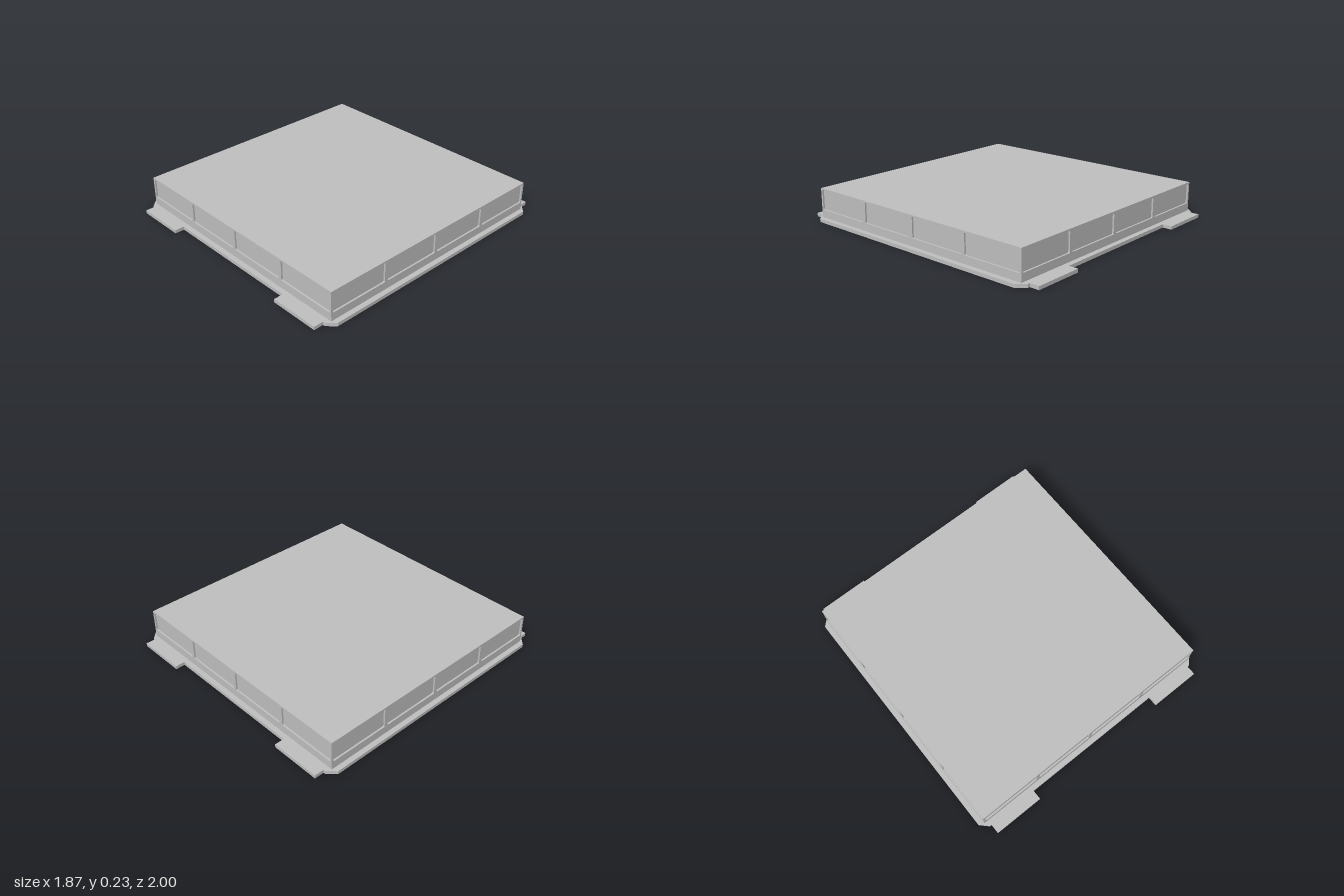
import * as THREE from 'three';

const HALF = 0.897;      // half width of the square body
const DEPTH = 0.012;     // depth of the side recesses
const BASE = 0.024;      // thickness of the base plate
const TOP = 0.23;

// Rectangle with small rounded corners, used for the recess openings
function roundedRect(path, x0, y0, x1, y1, r) {
  path.moveTo(x0 + r, y0);
  path.lineTo(x1 - r, y0);
  path.quadraticCurveTo(x1, y0, x1, y0 + r);
  path.lineTo(x1, y1 - r);
  path.quadraticCurveTo(x1, y1, x1 - r, y1);
  path.lineTo(x0 + r, y1);
  path.quadraticCurveTo(x0, y1, x0, y1 - r);
  path.lineTo(x0, y0 + r);
  path.quadraticCurveTo(x0, y0, x0 + r, y0);
  return path;
}

// Side wall with four openings
function wallGeometry(halfWidth) {
  const shape = new THREE.Shape([
    new THREE.Vector2(-halfWidth, BASE), new THREE.Vector2(halfWidth, BASE),
    new THREE.Vector2(halfWidth, TOP), new THREE.Vector2(-halfWidth, TOP),
  ]);
  for (let i = 0; i < 4; i++) {
    const cx = (i - 1.5) * 0.448;
    shape.holes.push(roundedRect(new THREE.Path(), cx - 0.2115, 0.079, cx + 0.2115, 0.219, 0.008));
  }
  return new THREE.ExtrudeGeometry(shape, { depth: DEPTH, bevelEnabled: false, curveSegments: 4 });
}

// Base plate outline: chamfered corners and four tabs, mirrored from one quarter
function plateGeometry() {
  const quarter = [[0.933, 0.88], [0.88, 0.933], [0.866, 0.933], [0.866, 1], [0.513, 1], [0.513, 0.933]];
  const flip = (sx, sy) => quarter.map(([x, y]) => new THREE.Vector2(x * sx, y * sy));
  const outline = [
    ...flip(1, 1), ...flip(-1, 1).reverse(),
    ...flip(-1, -1), ...flip(1, -1).reverse(),
  ];
  const geo = new THREE.ExtrudeGeometry(new THREE.Shape(outline), { depth: BASE, bevelEnabled: false });
  return geo.rotateX(-Math.PI / 2);
}

export function createModel() {
  const model = new THREE.Group();
  model.name = 'module';
  const grey = new THREE.MeshStandardMaterial({ color: 0xc0c0c0 });
  grey.name = 'light grey';

  const add = (name, geo) => {
    const mesh = new THREE.Mesh(geo, grey);
    mesh.name = name;
    model.add(mesh);
    return mesh;
  };

  add('basePlate', plateGeometry());

  // Solid core whose sides form the recessed panels
  const inner = HALF - DEPTH;
  add('body', new THREE.BoxGeometry(inner * 2, TOP - BASE, inner * 2)).position.y = (TOP + BASE) / 2;

  // Framed walls around the core
  ['frontWall', 'leftWall', 'backWall', 'rightWall'].forEach((name, i) => {
    const geo = wallGeometry(i % 2 ? inner : HALF).translate(0, 0, inner);
    add(name, geo).rotation.y = i * Math.PI / 2;
  });

  return model;
}
